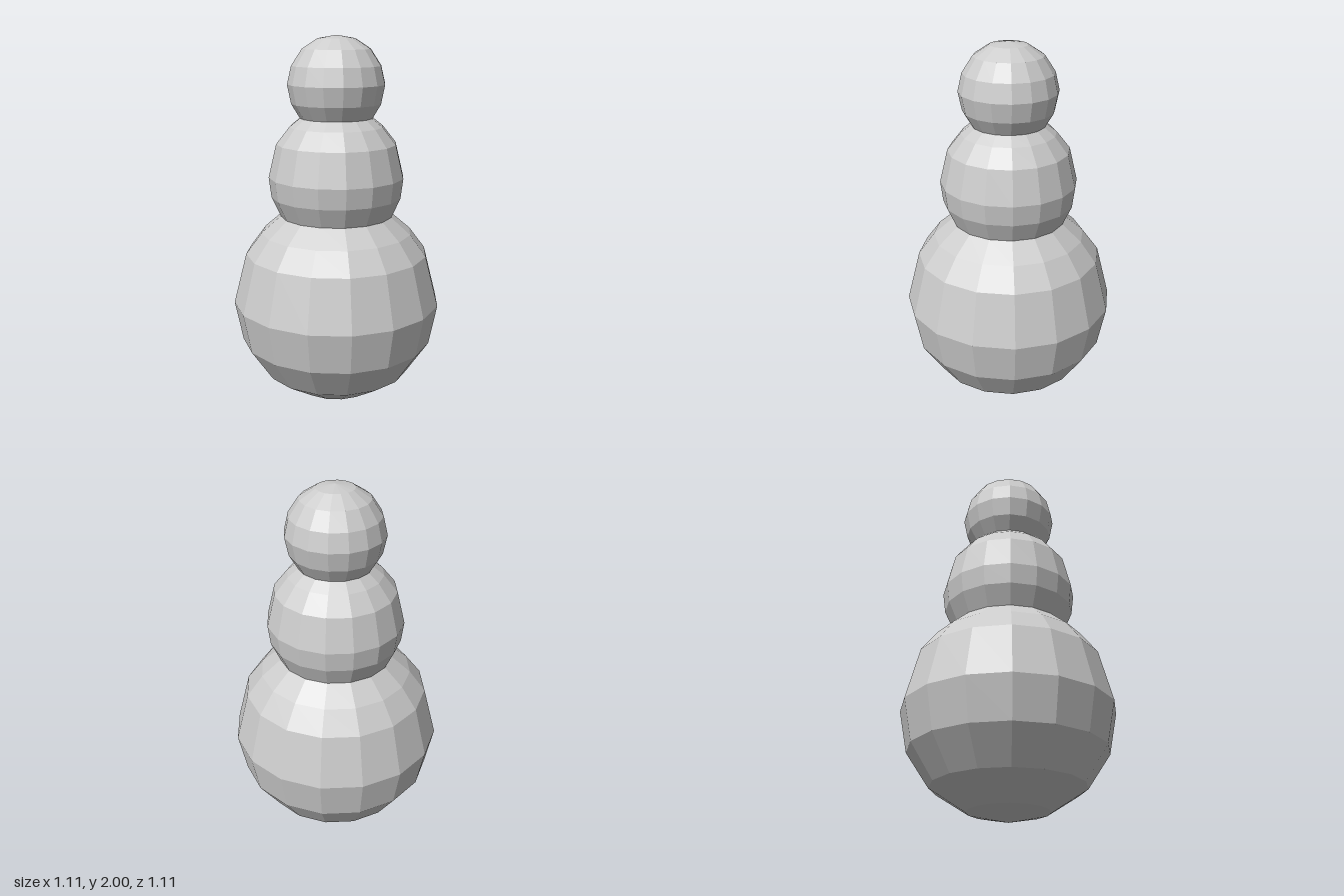
import * as THREE from 'three';

const SIDES = 16;
// Profiles give the distance to the flat of a side; lathe points sit on the corners.
const CORNER = 1 / Math.cos(Math.PI / SIDES);

// Faceted ball turned from a bottom-to-top profile of [radius, height]
function ball(name, profile, material) {
  const points = profile.map(([r, y]) => new THREE.Vector2(r * CORNER, y));
  const geometry = new THREE.LatheGeometry(points, SIDES, Math.PI / SIDES);
  const mesh = new THREE.Mesh(geometry, material);
  mesh.name = name;
  return mesh;
}

export function createModel() {
  const model = new THREE.Group();
  model.name = 'stackedBallFigure';
  const material = new THREE.MeshStandardMaterial({ color: 0xcccccc, flatShading: true });

  // Large base ball, its top tucked inside the middle ball
  model.add(ball('baseBall', [
    [0, 0], [0.21, 0.05], [0.395, 0.17], [0.513, 0.35], [0.555, 0.57],
    [0.485, 0.845], [0.4, 0.96], [0.297, 1.05], [0.16, 1.11], [0, 1.13],
  ], material));

  // Middle ball, closed inside its neighbours
  model.add(ball('middleBall', [
    [0, 0.95], [0.2, 0.98], [0.297, 1.05], [0.344, 1.155], [0.357, 1.263],
    [0.315, 1.44], [0.245, 1.53], [0.19, 1.575], [0.1, 1.61], [0, 1.62],
  ], material));

  // Head
  model.add(ball('head', [
    [0, 1.5], [0.1, 1.52], [0.19, 1.575], [0.234, 1.65], [0.254, 1.75],
    [0.232, 1.845], [0.177, 1.93], [0.097, 1.983], [0, 2],
  ], material));

  return model;
}
